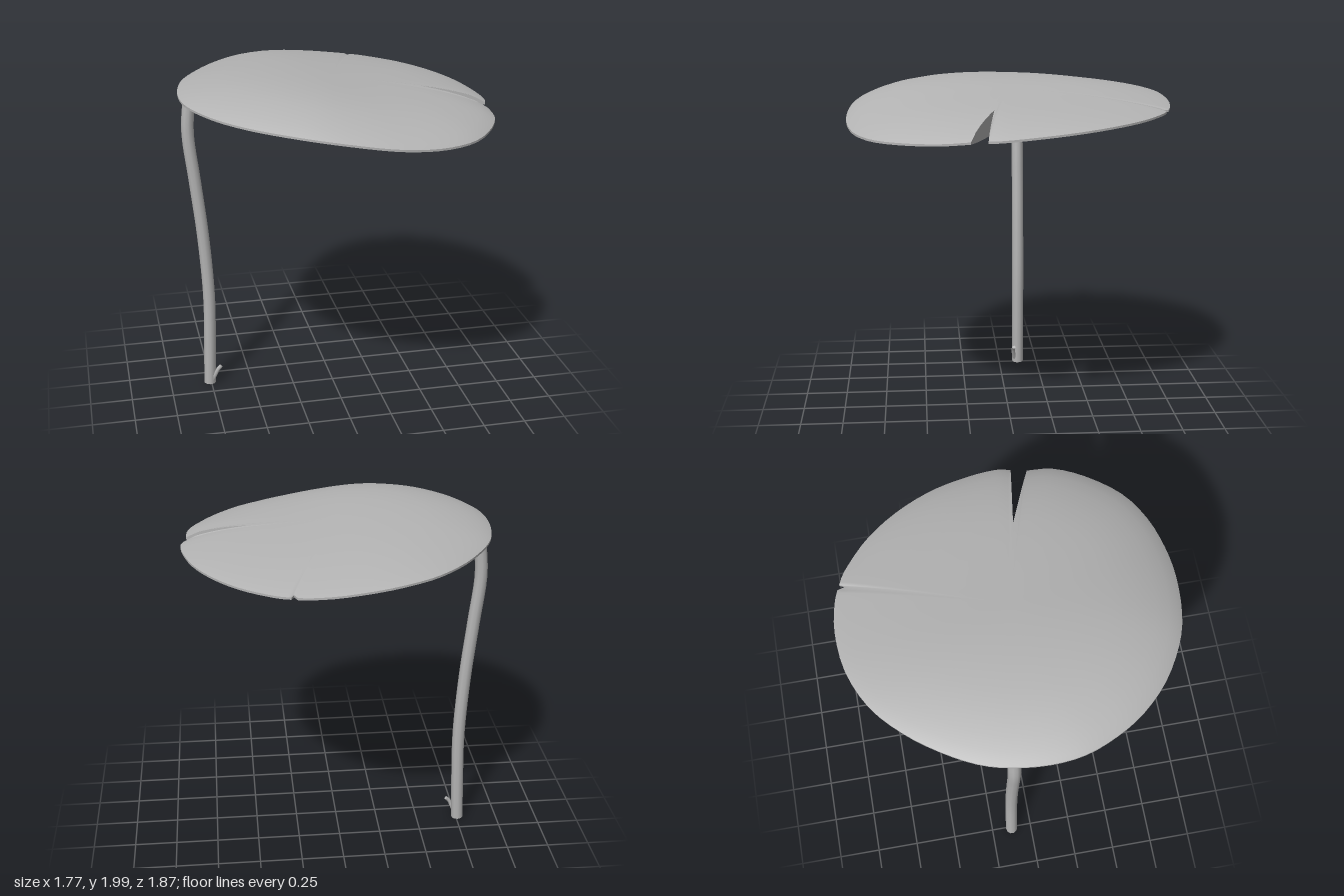
import * as THREE from 'three';

const V2 = (x, z) => new THREE.Vector2(x, z);
const smooth = (pts, n) => new THREE.SplineCurve(pts.map(p => V2(...p))).getPoints(n);

// Leaf outline in (x, z), split by a small nick, then closed by the deep slit
const slitTip = V2(0.49, 0.105);
function leafOutline() {
  const main = smooth([[0.855, 0.25], [0.845, 0.4], [0.77, 0.57], [0.63, 0.75], [0.45, 0.86], [0.25, 0.915],
    [0.05, 0.93], [-0.18, 0.905], [-0.36, 0.845], [-0.55, 0.73], [-0.7, 0.58], [-0.8, 0.42], [-0.87, 0.24],
    [-0.89, 0.05], [-0.87, -0.15], [-0.82, -0.32], [-0.72, -0.5], [-0.59, -0.67], [-0.42, -0.82],
    [-0.2, -0.915], [0.03, -0.94], [0.2, -0.92], [0.28, -0.895]], 66);
  const rest = smooth([[0.31, -0.882], [0.4, -0.835], [0.57, -0.69], [0.71, -0.5], [0.81, -0.29],
    [0.865, -0.08], [0.885, 0.08], [0.87, 0.16]], 24);
  const rim = [...main, V2(0.295, -0.85), ...rest].map(p => ({ p, reach: 1 }));
  const slit = [];
  const edge = (a, b, from, to) => {
    for (let i = from; i <= to; i++) {
      const p = a.clone().lerp(b, i / 5);
      slit.push({ p, reach: Math.min(1, p.length() / 0.9) });
    }
  };
  edge(V2(0.87, 0.16), slitTip, 1, 5);
  edge(slitTip, V2(0.855, 0.25), 1, 4);
  return [...rim, ...slit];
}

// Height of the wavy middle sheet, with a domed top and a shallower belly
const midHeight = (x, z) => 1.852 - 0.052 * Math.tanh(2.5 * x) - 0.033 * z * (1 + x);
const swell = t => Math.pow(Math.max(0, 1 - t * t * t), 0.85);
const topHeight = (x, z, t) => midHeight(x, z) + 0.006 + 0.108 * swell(t) * (1 + 0.4 * z);
const bottomHeight = (x, z, t) => midHeight(x, z) - 0.006 - 0.022 * swell(t);

function toGeometry(pos, idx) {
  const g = new THREE.BufferGeometry();
  g.setAttribute('position', new THREE.Float32BufferAttribute(pos, 3));
  g.setIndex(idx);
  g.computeVertexNormals();
  return g;
}

// One face of the leaf: rings growing from the middle to the outline
function leafFace(outline, height, up) {
  const steps = [0.2, 0.4, 0.58, 0.72, 0.84, 0.92, 0.97, 1], n = outline.length;
  const pos = [0, height(0, 0, 0), 0], idx = [];
  const tri = (a, b, c) => up ? idx.push(a, c, b) : idx.push(a, b, c);
  steps.forEach((s, r) => outline.forEach(({ p, reach }, i) => {
    const x = p.x * s, z = p.y * s, j = (i + 1) % n, base = 1 + r * n;
    pos.push(x, height(x, z, s * reach), z);
    if (r === 0) tri(0, 1 + i, 1 + j);
    else {
      tri(base - n + i, base + i, base + j);
      tri(base - n + i, base + j, base - n + j);
    }
  }));
  return toGeometry(pos, idx);
}

// Thin wall that joins both faces along the rim and inside the slit
function leafEdge(outline) {
  const pos = [], idx = [];
  outline.forEach((a, i) => {
    const b = outline[(i + 1) % outline.length], k = i * 4;
    for (const { p, reach } of [a, b]) {
      pos.push(p.x, topHeight(p.x, p.y, reach), p.y, p.x, bottomHeight(p.x, p.y, reach), p.y);
    }
    idx.push(k, k + 3, k + 1, k, k + 2, k + 3);
  });
  return toGeometry(pos, idx);
}

// Round stalk along a path, closed with discs at both ends
function stalk(name, points, radius, sides, steps, material) {
  const group = new THREE.Group();
  group.name = name;
  const curve = new THREE.CatmullRomCurve3(points.map(p => new THREE.Vector3(...p)));
  const tube = new THREE.Mesh(new THREE.TubeGeometry(curve, steps, radius, sides), material);
  tube.name = name + 'Body';
  group.add(tube);
  for (const t of [0, 1]) {
    const cap = new THREE.Mesh(new THREE.CircleGeometry(radius, sides), material);
    const p = curve.getPoint(t);
    cap.name = name + (t ? 'TopCap' : 'BottomCap');
    cap.position.copy(p);
    cap.lookAt(p.clone().addScaledVector(curve.getTangent(t), t ? 1 : -1));
    group.add(cap);
  }
  return group;
}

export function createModel() {
  const model = new THREE.Group();
  model.name = 'lilyPad';
  const grey = new THREE.MeshStandardMaterial({ color: 0xb4b4b4 });
  grey.name = 'pale grey';

  // Leaf
  const leaf = new THREE.Group();
  leaf.name = 'leaf';
  const outline = leafOutline();
  const parts = {
    leafTop: leafFace(outline, topHeight, true),
    leafUnderside: leafFace(outline, bottomHeight, false),
    leafEdge: leafEdge(outline),
  };
  for (const [name, geometry] of Object.entries(parts)) {
    const mesh = new THREE.Mesh(geometry, grey);
    mesh.name = name;
    leaf.add(mesh);
  }
  model.add(leaf);

  // Stem and the little shoot at its foot
  model.add(stalk('stem', [[-0.758, 0.005, -0.125], [-0.748, 0.3, -0.125], [-0.743, 0.6, -0.125], [-0.765, 1, -0.125],
    [-0.8, 1.35, -0.125], [-0.829, 1.65, -0.125], [-0.81, 1.865, -0.125]], 0.037, 10, 32, grey));
  model.add(stalk('shoot', [[-0.74, 0.03, -0.105], [-0.722, 0.075, -0.095], [-0.708, 0.105, -0.093],
    [-0.688, 0.125, -0.095]], 0.012, 6, 8, grey));
  return model;
}
